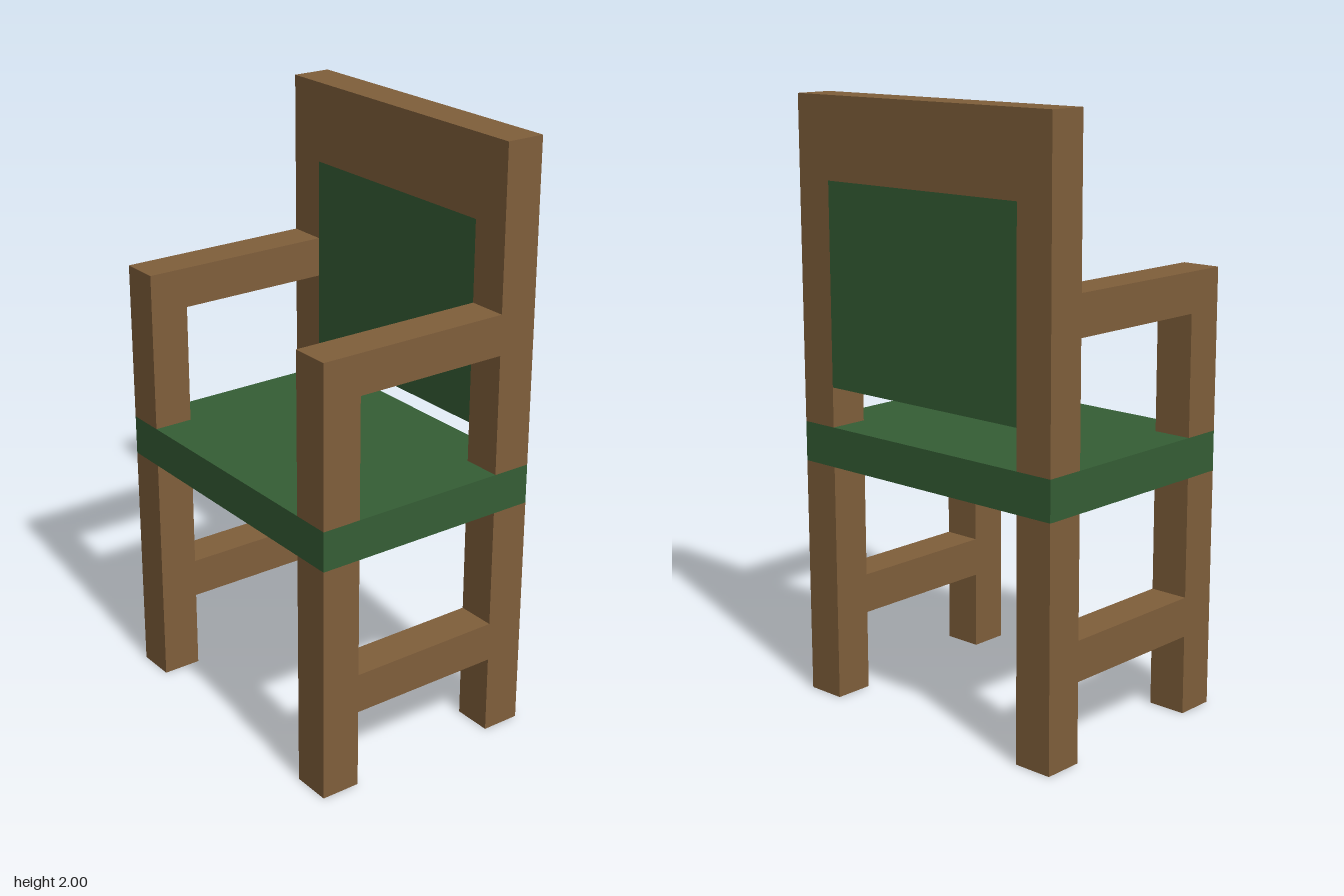
import * as THREE from 'three';

const U = 2 / 15; // every part is laid out on this module

export function createModel() {
  const chair = new THREE.Group();
  chair.name = 'armchair';
  const wood = new THREE.MeshStandardMaterial({ color: 0x805f3b });
  wood.name = 'brown wood';
  const fabric = new THREE.MeshStandardMaterial({ color: 0x355e35 });
  fabric.name = 'green upholstery';

  // Box given by its low and high corners, in modules
  function box(name, material, [x0, y0, z0], [x1, y1, z1]) {
    const geometry = new THREE.BoxGeometry((x1 - x0) * U, (y1 - y0) * U, (z1 - z0) * U);
    const mesh = new THREE.Mesh(geometry, material);
    mesh.name = name;
    mesh.position.set((x0 + x1) * U / 2, (y0 + y1) * U / 2, (z0 + z1) * U / 2);
    chair.add(mesh);
  }

  // Seat and backrest
  box('seat', fabric, [-4, 6, -3], [4, 7, 3]);
  box('backPanel', fabric, [-3, 8, -3], [3, 13, -2]);
  box('topRail', wood, [-4, 13, -3], [4, 15, -2]);

  // Side frames: legs, stretcher, posts and armrest
  for (const [side, x] of [['right', -4], ['left', 3]]) {
    box(side + 'FrontLeg', wood, [x, 0, 2], [x + 1, 6, 3]);
    box(side + 'BackLeg', wood, [x, 0, -3], [x + 1, 6, -2]);
    box(side + 'Stretcher', wood, [x, 2, -2], [x + 1, 3, 2]);
    box(side + 'BackPost', wood, [x, 7, -3], [x + 1, 13, -2]);
    box(side + 'ArmPost', wood, [x, 7, 2], [x + 1, 10, 3]);
    box(side + 'Armrest', wood, [x, 10, -2], [x + 1, 11, 3]);
  }
  return chair;
}
